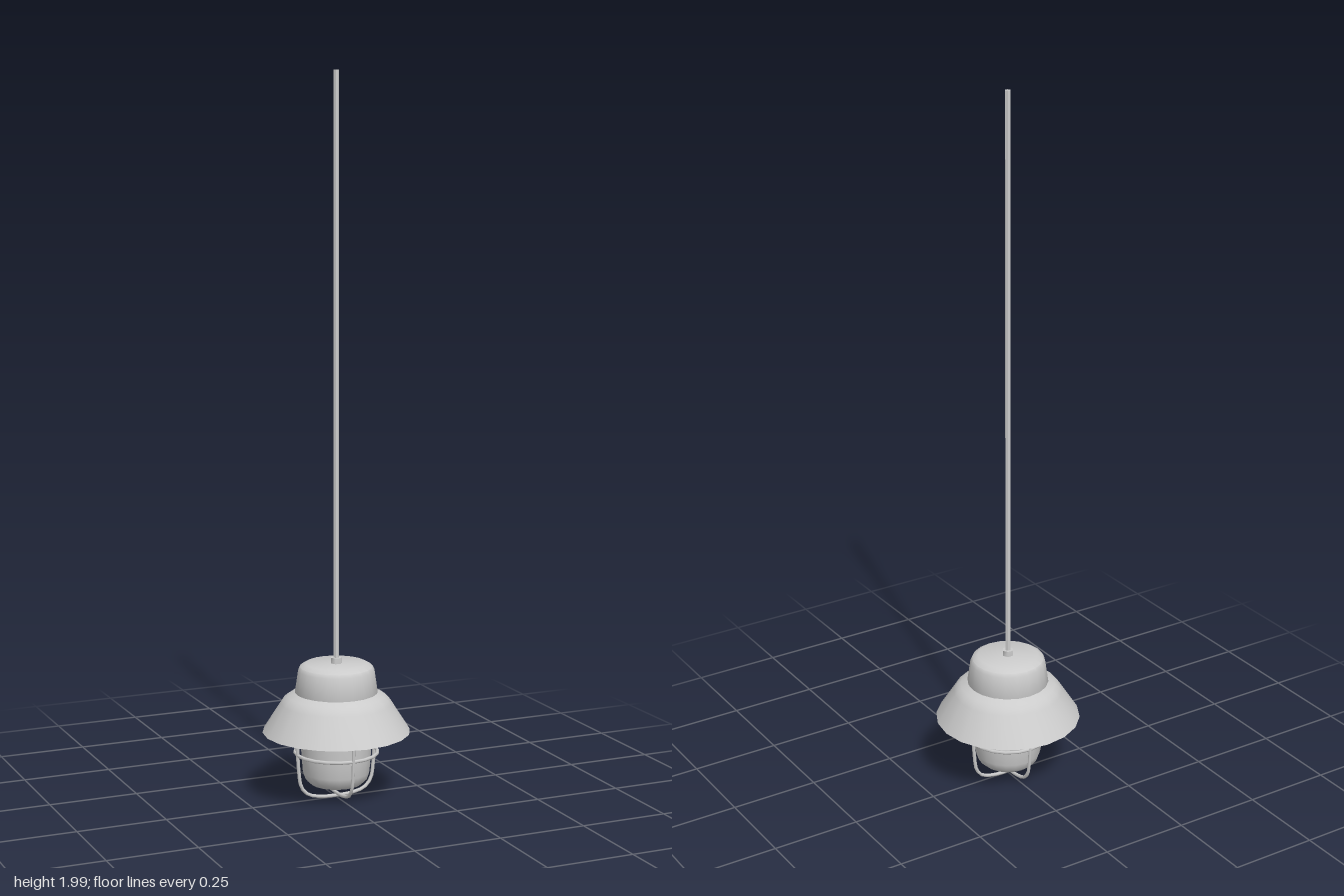
import * as THREE from 'three';
import { toCreasedNormals } from 'three/addons/utils/BufferGeometryUtils.js';

const SIDES = 20;
const WIRE = 0.005;

export function createModel() {
  const group = new THREE.Group();
  const material = new THREE.MeshStandardMaterial({ color: 0xcccccc });

  const add = (name, geometry, parent = group) => {
    const mesh = new THREE.Mesh(geometry, material);
    mesh.name = name;
    parent.add(mesh);
    return mesh;
  };
  // Profiles are [radius, height], running up the outer surface
  const lathe = (name, profile) => {
    const points = profile.map(([r, y]) => new THREE.Vector2(r, y));
    return add(name, toCreasedNormals(new THREE.LatheGeometry(points, SIDES), 0.6));
  };
  const hexRod = (name, radius, bottom, top) => {
    const rod = new THREE.CylinderGeometry(radius, radius, top - bottom, 6);
    rod.rotateY(Math.PI / 6).translate(0, (bottom + top) / 2, 0);
    return add(name, toCreasedNormals(rod, 1.1));
  };

  // Hanging cable and its nut
  hexRod('cable', 0.008, 0.385, 2);
  hexRod('cableNut', 0.016, 0.385, 0.403);

  // Housing closed above and below
  lathe('housing', [
    [0, 0.298], [0.112, 0.298], [0.115, 0.306], [0.106, 0.368],
    [0.101, 0.378], [0.085, 0.387], [0, 0.387],
  ]);

  // Flared shade with a thin wall: inside going down, then outside going up
  lathe('shade', [
    [0.1, 0.3], [0.132, 0.285], [0.145, 0.272], [0.198, 0.195],
    [0.205, 0.195], [0.154, 0.275], [0.146, 0.287], [0.134, 0.296], [0.113, 0.307],
  ]);

  // Glass bulb cover with a rounded bottom
  lathe('glass', [
    [0, 0.04], [0.05, 0.041], [0.072, 0.047], [0.086, 0.06],
    [0.093, 0.08], [0.097, 0.13], [0.101, 0.2], [0.104, 0.3],
  ]);

  // Wire cage: two crossed hoops and a ring
  const cage = new THREE.Group();
  cage.name = 'cage';
  group.add(cage);

  const hoop = (name, bottom) => {
    const half = [[0.122, 0.29], [0.118, 0.19], [0.113, 0.09], [0.105, bottom + 0.036],
      [0.085, bottom + 0.013], [0.045, bottom + 0.002]];
    const points = [
      ...half.map(([x, y]) => new THREE.Vector3(-x, y, 0)),
      new THREE.Vector3(0, bottom, 0),
      ...half.reverse().map(([x, y]) => new THREE.Vector3(x, y, 0)),
    ];
    const curve = new THREE.CatmullRomCurve3(points);
    return add(name, new THREE.TubeGeometry(curve, 40, WIRE, 6), cage);
  };
  hoop('sideHoop', 0.011 - 0.006);
  hoop('frontHoop', 0.018).rotation.y = Math.PI / 2;
  // Keep the lowest wire resting on the ground plane
  cage.children[0].position.y = WIRE - 0.005;
  cage.children[0].scale.y = 0.285 / 0.29;
  cage.children[0].position.y += 0.005;

  const ring = add('cageRing', new THREE.TorusGeometry(0.115, WIRE, 6, SIDES), cage);
  ring.rotation.x = Math.PI / 2;
  ring.position.y = 0.136;

  return group;
}
